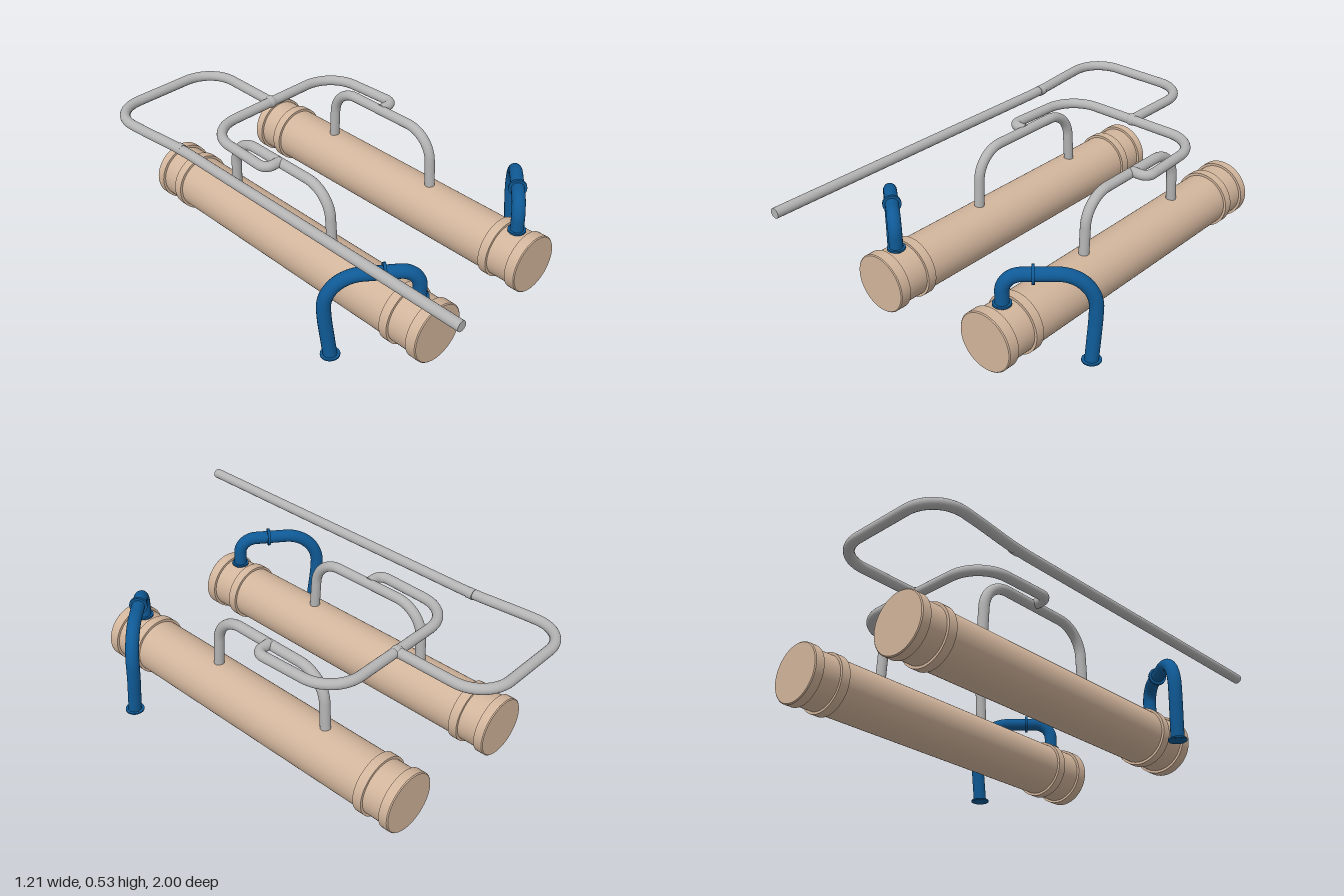
import * as THREE from 'three';
import { toCreasedNormals } from 'three/addons/utils/BufferGeometryUtils.js';

const material = (name, color) => {
  const m = new THREE.MeshStandardMaterial({ color });
  m.name = name;
  return m;
};

export function createModel() {
  const model = new THREE.Group();
  const tan = material('tan', 0xd2b59c);
  const grey = material('grey', 0xb4b4b4);
  const blue = material('blue', 0x0f5a96);

  const add = (name, geometry, mat, parent = model) => {
    const mesh = new THREE.Mesh(geometry, mat);
    mesh.name = name;
    parent.add(mesh);
    return mesh;
  };

  // Straight runs joined by rounded corners; each point is [x, y, z, cornerCut]
  function pipePath(points) {
    const v = points.map(p => new THREE.Vector3(p[0], p[1], p[2]));
    const path = new THREE.CurvePath();
    let from = v[0];
    for (let i = 1; i < v.length - 1; i++) {
      const cut = points[i][3] ?? 0.08;
      const a = v[i].clone().add(v[i - 1].clone().sub(v[i]).setLength(cut));
      const b = v[i].clone().add(v[i + 1].clone().sub(v[i]).setLength(cut));
      // Cubic handles keep the bends close to circular
      path.add(new THREE.LineCurve3(from, a));
      path.add(new THREE.CubicBezierCurve3(a, a.clone().lerp(v[i], 0.56), b.clone().lerp(v[i], 0.56), b));
      from = b;
    }
    path.add(new THREE.LineCurve3(from, v[v.length - 1]));
    return path;
  }

  // Tube with a flat disc on each end
  function pipe(name, points, radius, mat) {
    const group = new THREE.Group();
    group.name = name;
    const path = pipePath(points);
    add(name + 'Tube', new THREE.TubeGeometry(path, 140, radius, 20), mat, group);
    for (const t of [0, 1]) {
      const cap = add(name + 'Cap', new THREE.CircleGeometry(radius, 20), mat, group);
      const dir = path.getTangentAt(t).multiplyScalar(t ? 1 : -1);
      cap.position.copy(path.getPointAt(t));
      cap.quaternion.setFromUnitVectors(new THREE.Vector3(0, 0, 1), dir);
    }
    model.add(group);
  }

  function flange(name, position, direction, radius, thickness) {
    const ring = add(name, toCreasedNormals(new THREE.CylinderGeometry(radius, radius, thickness, 28), 0.6), blue);
    ring.position.set(...position);
    ring.quaternion.setFromUnitVectors(new THREE.Vector3(0, 1, 0), new THREE.Vector3(...direction).normalize());
  }

  // Tank profile: plain barrel with four raised bands
  const R = 0.129, r = 0.118;
  const profile = [
    [0, -0.89], [R - 0.004, -0.89], [R, -0.886], [R, -0.848], [r, -0.848],
    [r, -0.762], [R, -0.762], [R, -0.722], [r, -0.722],
    [r, 0.52], [R, 0.52], [R, 0.56], [r, 0.56],
    [r, 0.66], [R, 0.66], [R, 0.706], [R - 0.004, 0.71], [0, 0.71],
  ].map(p => new THREE.Vector2(...p));
  const tankGeometry = toCreasedNormals(new THREE.LatheGeometry(profile, 56).rotateX(Math.PI / 2), 0.5);

  const H = 0.503, P = 0.022;
  for (const [side, x] of [['right', -0.29], ['left', 0.298]]) {
    add(side + 'Tank', tankGeometry, tan).position.set(x, 0.133, 0);
    // Hoop standing on the tank
    pipe(side + 'Hoop', [
      [x, 0.23, 0.132], [x, H - 0.005, 0.118, 0.125], [x, H - 0.005, -0.452, 0.125], [x, 0.23, -0.468],
    ], P, grey);
  }

  // Cross pipe joining the two hoops
  pipe('crossPipe', [
    [-0.29, H, -0.17], [-0.368, H, -0.17, 0.04], [-0.355, H, -0.558, 0.15],
    [0.36, H, -0.558, 0.15], [0.378, H, -0.17, 0.04], [0.298, H, -0.17],
  ], P, grey);
  add('teeJoint', new THREE.SphereGeometry(0.027, 24, 16), grey).position.set(0, H, -0.56);

  // Long pipe looping round the back and running to the front
  pipe('longPipe', [
    [0, H, -0.56], [0, H, -0.978, 0.15], [-0.56, H, -0.978, 0.15],
    [-0.545, H, -0.76, 0.06], [-0.52, H, -0.53, 0.08], [-0.52, H, 1],
  ], P, grey);
  const sleeve = add('longPipeJoint', new THREE.CylinderGeometry(0.0235, 0.0235, 0.03, 20), grey);
  sleeve.position.set(-0.52, H, -0.53);
  sleeve.rotation.x = Math.PI / 2;

  // Drain pipes, each arching outward from a tank to the ground
  const B = 0.388;
  const drains = [
    ['right', -0.29, 0.61, -0.578, 0.385, -0.563, 0.4],
    ['left', 0.298, 0.61, 0.562, 0.375, 0.56, 0.395],
  ];
  for (const [side, x, z, bendX, bendZ, footX, footZ] of drains) {
    pipe(side + 'DrainPipe', [
      [x, 0.23, z], [x, B, z, 0.075], [bendX, B, bendZ, 0.15],
      [bendX, 0.2, bendZ, 0.05], [footX, 0.002, footZ],
    ], 0.0285, blue);
    const t = side === 'left' ? 0.33 : 0.37;
    flange(side + 'DrainCollar', [x + (bendX - x) * t, B, z + (bendZ - z) * t],
      [bendX - x, 0, bendZ - z], 0.039, 0.012);
    flange(side + 'DrainFoot', [footX, 0.003, footZ], [0, 1, 0], 0.04, 0.006);
    flange(side + 'DrainInlet', [x, 0.26, z], [0, 1, 0], 0.038, 0.008);
  }

  return model;
}
